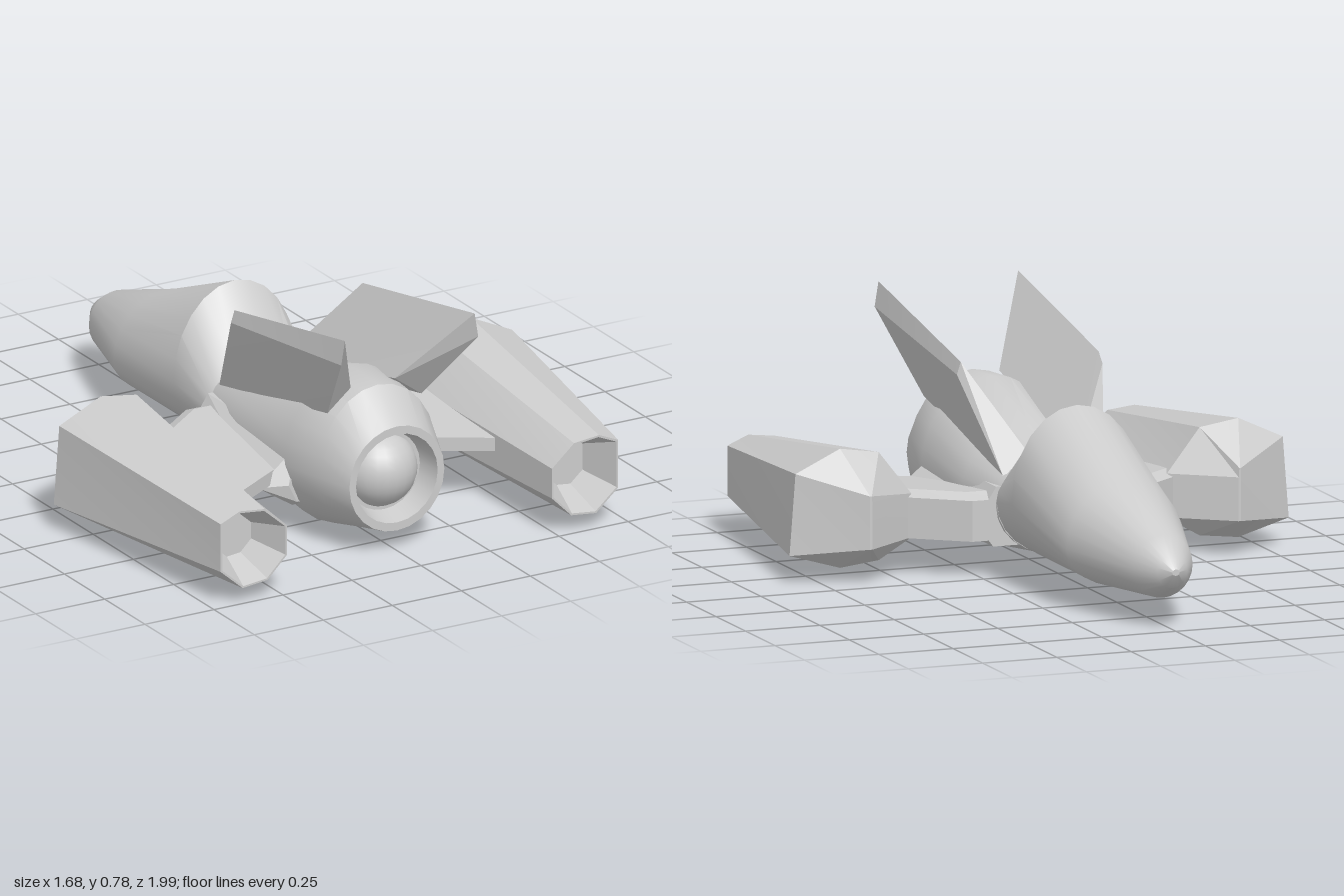
import * as THREE from 'three';
import { toCreasedNormals } from 'three/addons/utils/BufferGeometryUtils.js';

const material = new THREE.MeshStandardMaterial({ color: 0xcccccc });

// Skin over rings of [x, y, z] points, closed with a fan at both ends; side -1 mirrors in x.
function loft(name, rings, crease = 0.6, side = 1) {
  if (side < 0) rings = rings.map(r => r.map(([x, y, z]) => [-x, y, z]).reverse());
  const n = rings[0].length, last = rings.length - 1, pos = [];
  const tri = (...pts) => pts.forEach(p => pos.push(...p));
  const centre = r => [0, 1, 2].map(k => r.reduce((s, p) => s + p[k], 0) / n);
  const c0 = centre(rings[0]), c1 = centre(rings[last]);
  for (let j = 0; j < n; j++) {
    const k = (j + 1) % n;
    for (let i = 0; i < last; i++) {
      const a = rings[i][j], b = rings[i][k], c = rings[i + 1][k], d = rings[i + 1][j];
      tri(a, b, c); tri(a, c, d);
    }
    tri(c0, rings[0][k], rings[0][j]);
    tri(c1, rings[last][j], rings[last][k]);
  }
  const g = new THREE.BufferGeometry();
  g.setAttribute('position', new THREE.Float32BufferAttribute(pos, 3));
  const mesh = new THREE.Mesh(toCreasedNormals(g, crease), material);
  mesh.name = name;
  return mesh;
}

// Oval ring with different heights above and below its widest line.
function oval([z, w, cy, top, bottom], n = 24) {
  return Array.from({ length: n }, (_, i) => {
    const a = i / n * Math.PI * 2, s = Math.sin(a);
    return [w * Math.cos(a), cy + s * (s > 0 ? top - cy : cy - bottom), z];
  });
}

export function createModel() {
  const model = new THREE.Group();
  model.name = 'spaceship';

  // Nose: z, half width, widest height, top, bottom
  model.add(loft('noseFuselage', [
    [-1, 0.012, 0.19, 0.2, 0.18],
    [-0.97, 0.05, 0.19, 0.24, 0.135],
    [-0.89, 0.1, 0.19, 0.29, 0.09],
    [-0.57, 0.197, 0.2, 0.4, 0.068],
    [-0.16, 0.22, 0.27, 0.57, 0.065],
    [0.02, 0.2, 0.24, 0.375, 0.065],
  ].map(r => oval(r)), 0.5));

  // Engine body, ending in a rim and a recessed nozzle
  model.add(loft('engineBody', [
    [0.01, 0.2, 0.23, 0.375, 0.065],
    [0.24, 0.23, 0.23, 0.43, 0.04],
    [0.56, 0.24, 0.24, 0.53, 0.003],
    [0.73, 0.215, 0.25, 0.52, 0.045],
    [0.85, 0.172, 0.245, 0.42, 0.07],
    [0.85, 0.148, 0.245, 0.393, 0.097],
    [0.77, 0.13, 0.245, 0.375, 0.115],
  ].map(r => oval(r)), 0.5));

  const glow = new THREE.Mesh(new THREE.SphereGeometry(0.125, 24, 16), material);
  glow.name = 'nozzleCore';
  glow.position.set(0, 0.245, 0.73);
  model.add(glow);

  // Nacelle outlines in x, y, listed counter-clockwise from behind
  const wide = [[0.82, 0.35], [0.67, 0.42], [0.54, 0.4], [0.43, 0.26],
    [0.43, 0.12], [0.54, 0.055], [0.67, 0.04], [0.84, 0.09]];
  const narrow = [[0.72, 0.28], [0.65, 0.31], [0.56, 0.3], [0.48, 0.23],
    [0.48, 0.13], [0.55, 0.06], [0.64, 0.05], [0.72, 0.12]];
  const at = (pts, z) => pts.map(([x, y]) => [x, y, z]);
  const shrink = (pts, f) => pts.map(([x, y]) => [0.6 + (x - 0.6) * f, 0.18 + (y - 0.18) * f]);
  const wedge = wide.map(([x, y]) => [0.62 + (x - 0.62) * 0.02, Math.min(0.29, Math.max(0.12, y))]);

  for (const side of [1, -1]) {
    const part = side > 0 ? 'left' : 'right';

    // Nacelle: wedge front, tapering barrel, hollow exhaust
    model.add(loft(part + 'Nacelle', [
      at(wedge, 0.02), at(wide, 0.16), at(narrow, 0.99),
      at(shrink(narrow, 0.95), 0.99), at(shrink(narrow, 0.55), 0.86),
    ], 0.3, side));

    // Fairing along the body side
    const fairing = (z, x, top, bottom) =>
      [[0.1, bottom, z], [0.21, bottom, z], [x, 0.18, z], [0.2, top, z], [0.1, top, z]];
    model.add(loft(part + 'Fairing', [
      fairing(0.02, 0.27, 0.29, 0.1), fairing(0.56, 0.335, 0.29, 0.1), fairing(0.59, 0.24, 0.26, 0.12),
    ], 0.3, side));

    // Pylon wing: thick leading edge, thin trailing edge
    const rib = (x, front, rear) => [[x, 0.27, front + 0.05], [x, 0.23, rear],
      [x, 0.185, rear], [x, 0.115, front + 0.05], [x, 0.12, front], [x, 0.25, front]];
    model.add(loft(part + 'Pylon', [
      rib(0.15, 0.02, 0.56), rib(0.28, 0.02, 0.56), rib(0.46, 0.16, 0.67),
    ], 0.3, side));

    // Outward-leaning tail fin, swept back
    model.add(loft(part + 'Fin', [
      [[0.07, 0.36, 0.02], [0.08, 0.515, 0.7], [0.17, 0.45, 0.71], [0.17, 0.32, 0.04]],
      [[0.232, 0.65, 0.24], [0.235, 0.78, 0.93], [0.248, 0.7, 0.93], [0.245, 0.61, 0.24]],
    ], 0.3, side));
  }
  return model;
}
